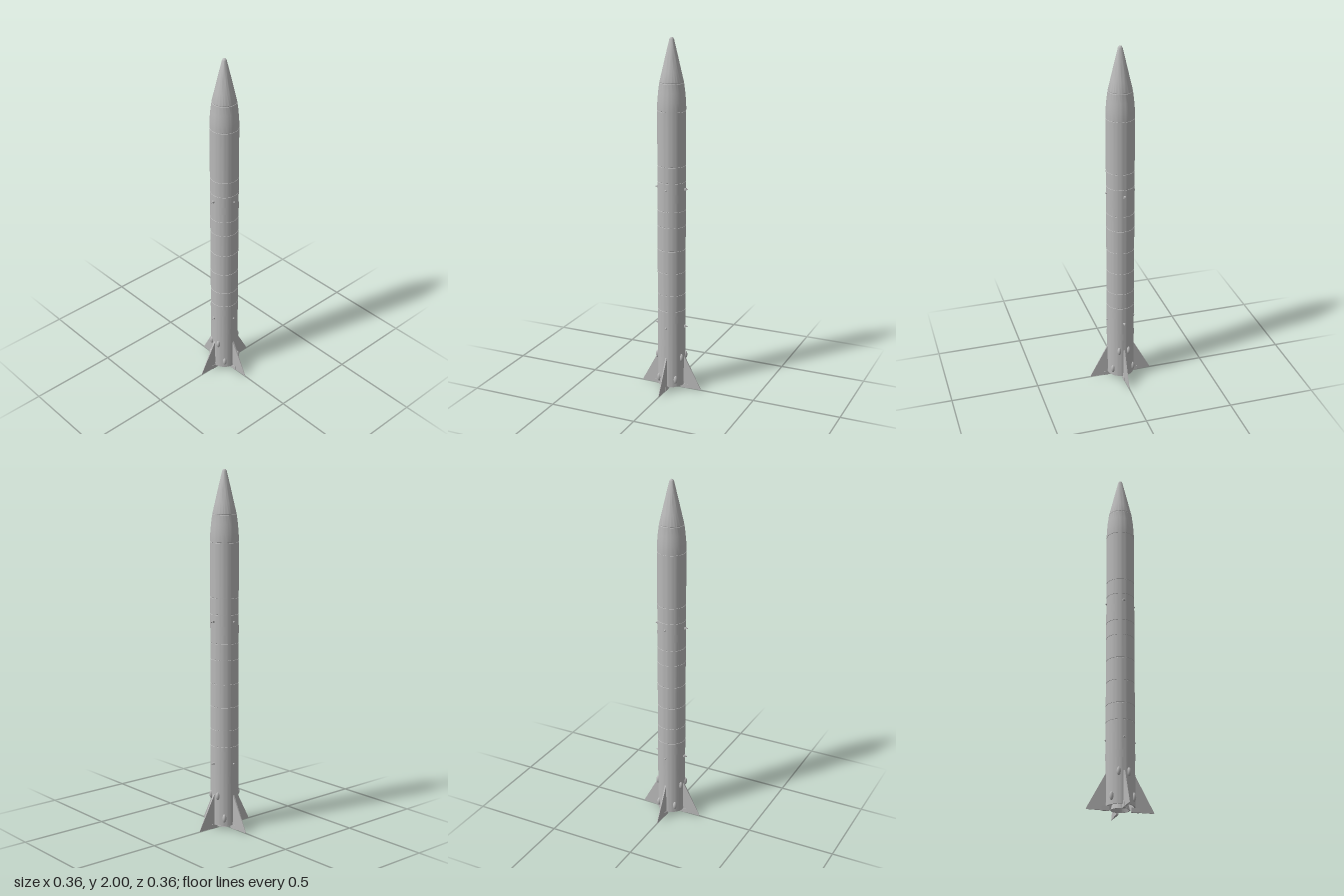
import * as THREE from 'three';
import { toCreasedNormals } from 'three/addons/utils/BufferGeometryUtils.js';

const R = 0.078;

export function createModel() {
  const rocket = new THREE.Group();
  rocket.name = 'rocket';
  const grey = new THREE.MeshStandardMaterial({ color: 0xb8b8b8 });
  grey.name = 'light grey';

  const add = (name, geometry, angle = 0, parent = rocket) => {
    const mesh = new THREE.Mesh(geometry, grey);
    mesh.name = name;
    mesh.rotation.y = angle;
    parent.add(mesh);
    return mesh;
  };
  const lathe = (pts, segments = 64) => toCreasedNormals(
    new THREE.LatheGeometry(pts.map(([r, y]) => new THREE.Vector2(r, y)), segments), 0.5);

  // Body: recessed tail, shallow grooves at the section joints, ogive nose
  const profile = [[0, 0.07], [0.07, 0.07], [0.07, 0.024], [R, 0.024]];
  for (const y of [0.48, 0.575, 0.705, 0.835, 0.97, 1.06, 1.22, 1.31, 1.61]) {
    profile.push([R, y - 0.002], [R - 0.0015, y - 0.001], [R - 0.0015, y + 0.001], [R, y + 0.002]);
  }
  profile.push([R, 1.63], [0.0768, 1.66], [0.0725, 1.71], [0.0665, 1.757], [0.0645, 1.759],
    [0.0645, 1.761], [0.0655, 1.763], [0.052, 1.82], [0.036, 1.89], [0.0145, 1.98],
    [0.0125, 1.989], [0.009, 1.9955], [0.005, 1.999], [0, 2]);
  add('body', lathe(profile));

  // Exhaust nozzle, open below with a visible inner wall
  add('nozzle', lathe([[0, 0.062], [0.025, 0.06], [0.045, 0.008], [0.05, 0.008], [0.035, 0.07]], 48));

  // Tapered fins with a small actuator housing at each root
  const outline = new THREE.Shape();
  outline.moveTo(0.07, 0.003);
  outline.lineTo(0.182, 0.003);
  outline.lineTo(0.179, 0.012);
  outline.lineTo(0.078, 0.2);
  outline.lineTo(0.07, 0.2);
  const fin = new THREE.ExtrudeGeometry(outline, { depth: 1, bevelEnabled: false });
  const p = fin.attributes.position;
  for (let i = 0; i < p.count; i++) {
    const t = (p.getX(i) - 0.07) / 0.112;
    p.setZ(i, (p.getZ(i) - 0.5) * (0.01 - 0.0075 * t));
  }
  fin.computeVertexNormals();
  const housing = new THREE.BoxGeometry(0.042, 0.024, 0.013).translate(0.08, 0.014, 0);
  const shaft = new THREE.CylinderGeometry(0.006, 0.006, 0.04, 16).translate(0.076, 0.022, 0);
  for (let k = 0; k < 4; k++) {
    const group = new THREE.Group();
    group.name = 'finAssembly';
    group.rotation.y = k * Math.PI / 2;
    add('fin', fin, 0, group);
    add('finHousing', housing, 0, group);
    add('finShaft', shaft, 0, group);
    rocket.add(group);
  }

  // Rounded fairings around the tail, mirrored in all four quadrants
  const bump = (y, h) => new THREE.SphereGeometry(1, 20, 14).scale(0.012, h, 0.011).translate(R, y, 0);
  const lowBump = bump(0.068, 0.024), highBump = bump(0.195, 0.023);
  for (const base of [0, Math.PI]) {
    for (const s of [-1, 1]) {
      add('lowerFairing', lowBump, base + s * 0.86);
      add('upperFairing', highBump, base + s * 0.36);
    }
  }

  // Launch lugs on both sides: short stem with a flat shoe
  const stem = new THREE.CylinderGeometry(0.003, 0.005, 0.024, 12).rotateZ(-Math.PI / 2);
  const shoe = new THREE.BoxGeometry(0.01, 0.011, 0.013);
  for (const y of [0.38, 1.18]) {
    for (const s of [-1, 1]) {
      const lug = new THREE.Group();
      lug.name = 'launchLug';
      lug.rotation.y = s > 0 ? 0 : Math.PI;
      lug.position.y = y;
      add('lugStem', stem, 0, lug).position.x = 0.085;
      add('lugShoe', shoe, 0, lug).position.x = 0.082;
      rocket.add(lug);
    }
    // Small studs front and back
    for (const s of [-1, 1]) {
      add('stud', new THREE.SphereGeometry(0.006, 12, 8).translate(0.079, y, 0), s * Math.PI / 2);
    }
  }

  // Thin curved access panels
  const panel = (y, h, arc) => new THREE.CylinderGeometry(R + 0.001, R + 0.001, h, 8, 1, true, -arc / 2, arc)
    .translate(0, y, 0);
  for (let k = 0; k < 4; k++) {
    const a = Math.PI / 4 + k * Math.PI / 2;
    add('upperPanel', panel(1.133, 0.045, 0.45), a);
    add('middlePanel', panel(0.432, 0.045, 0.45), a);
    add('lowerPanel', panel(0.29, 0.04, 0.6), a - 1.05);
  }
  return rocket;
}
